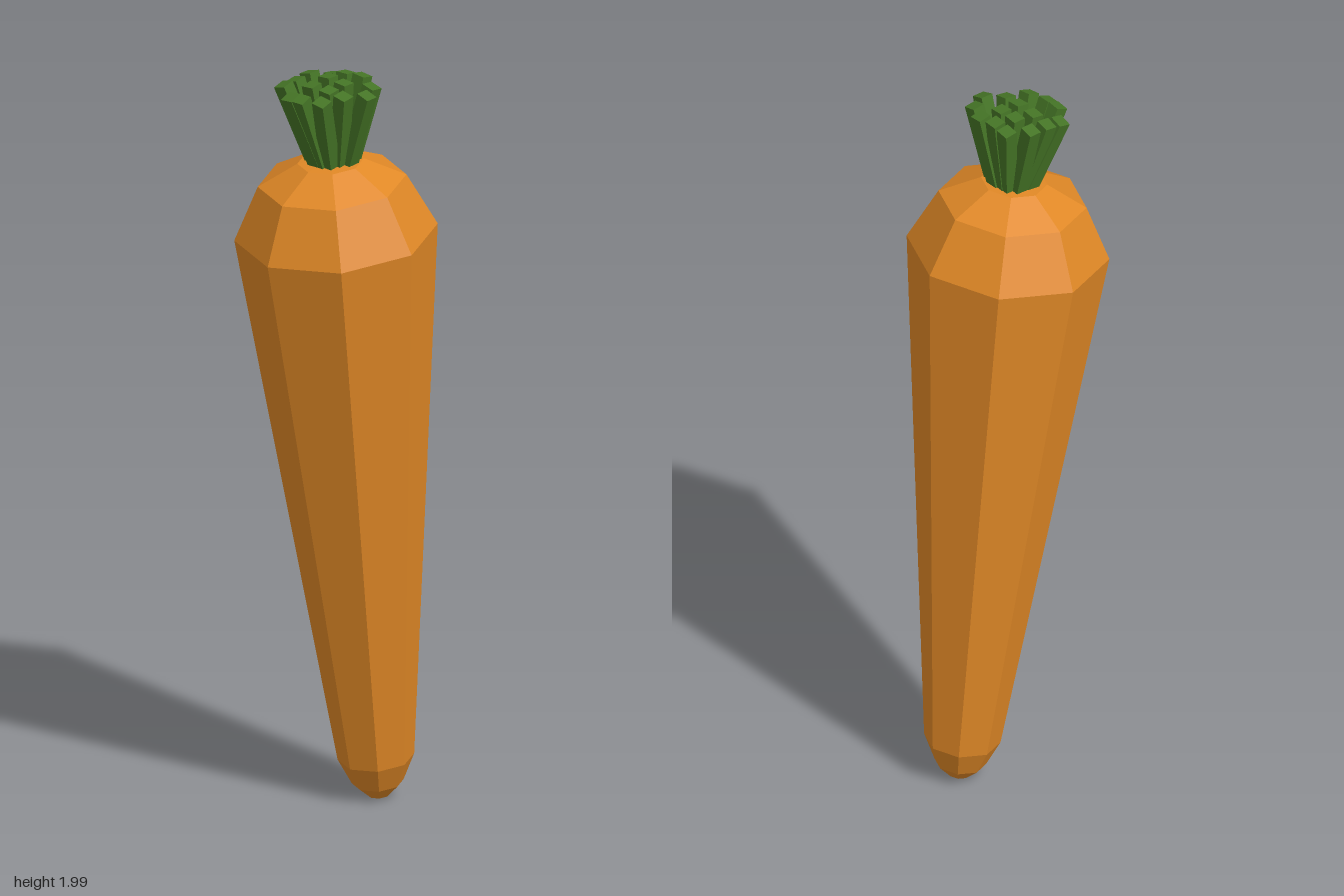
import * as THREE from 'three';

export function createModel() {
  const model = new THREE.Group();
  const orange = new THREE.MeshStandardMaterial({ color: 0xe08826, flatShading: true });
  orange.name = 'carrotOrange';
  const green = new THREE.MeshStandardMaterial({ color: 0x457526, flatShading: true });
  green.name = 'leafGreen';

  // Root: eight-sided lathe, leaning so that its crown tips toward -x
  const profile = [
    [0, -1.577], [0.028, -1.574], [0.066, -1.538], [0.098, -1.468],
    [0.26, 0], [0.19, 0.144], [0.085, 0.199], [0, 0.205],
  ].map(([r, y]) => new THREE.Vector2(r, y));
  const root = new THREE.Mesh(new THREE.LatheGeometry(profile, 8), orange);
  root.name = 'root';
  root.position.y = 1.572;
  root.rotation.z = THREE.MathUtils.degToRad(5.9);
  model.add(root);

  // Stalks: square rods fanning out from the crown; each entry is a tip (x, y, z)
  const tips = [
    [-0.095, 1.975, -0.095], [-0.055, 1.98, -0.09], [-0.002, 1.985, -0.09],
    [0.045, 1.98, -0.05], [-0.14, 1.968, -0.03], [-0.06, 1.98, -0.03],
    [-0.003, 1.99, -0.025], [0.05, 1.99, -0.01], [-0.138, 1.97, 0.005],
    [-0.06, 1.98, 0.03], [-0.003, 1.985, 0.03], [0.062, 1.99, 0.035],
    [-0.12, 1.97, 0.06], [-0.06, 1.975, 0.08], [-0.015, 1.975, 0.12],
    [0.035, 1.98, 0.092],
  ];
  const stalks = new THREE.Group();
  stalks.name = 'stalks';
  const up = new THREE.Vector3(0, 1, 0);
  for (const [x, y, z] of tips) {
    const tip = new THREE.Vector3(x, y, z);
    const base = new THREE.Vector3(-0.014 + (x + 0.035) * 0.4, 1.77, z * 0.4);
    const dir = tip.clone().sub(base);
    const stalk = new THREE.Mesh(new THREE.BoxGeometry(0.035, dir.length(), 0.037), green);
    stalk.name = 'stalk';
    stalk.position.copy(base).add(tip).multiplyScalar(0.5);
    stalk.quaternion.setFromUnitVectors(up, dir.normalize());
    stalks.add(stalk);
  }
  model.add(stalks);
  return model;
}
